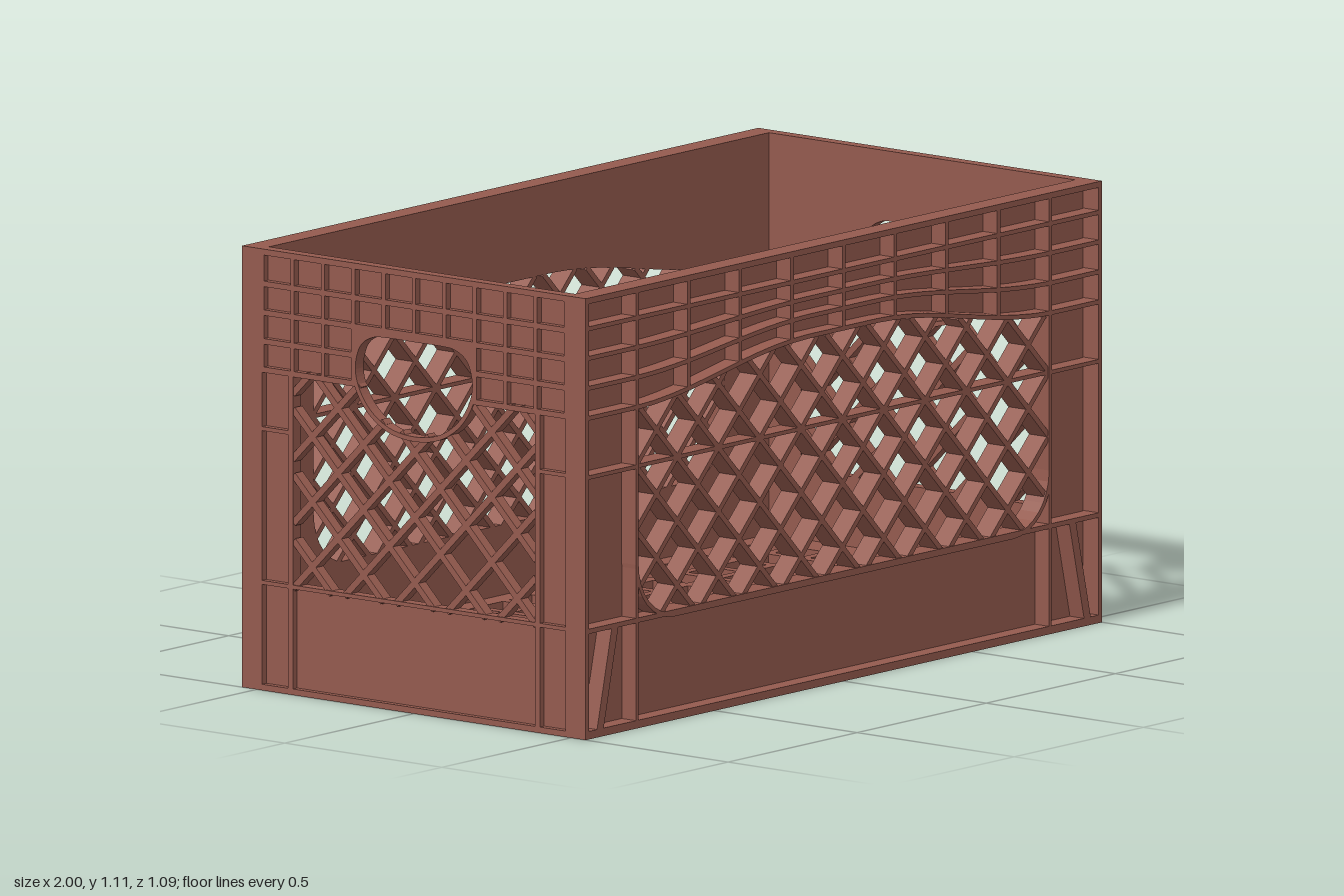
import * as THREE from 'three';
import { mergeGeometries } from 'three/addons/utils/BufferGeometryUtils.js';

const H = 1.105, W = 1, D = 0.547;      // height, half width, half depth
const IN_X = 0.968, IN_Z = 0.487;       // inner faces of the walls
const BASE = 0.27, TOP = 0.803, SKIN = 0.015, RIB = 0.014;

const plastic = new THREE.MeshStandardMaterial({ color: 0x945a4e });
plastic.name = 'brown plastic';

const V = (x, y) => new THREE.Vector2(x, y);
const rect = (x0, y0, x1, y1) => [V(x0, y0), V(x1, y0), V(x1, y1), V(x0, y1)];

// Flat outline with holes, given a thickness
function slab(outline, holes, depth, z = 0) {
  const shape = new THREE.Shape(outline);
  holes.forEach(h => shape.holes.push(new THREE.Path(h)));
  return new THREE.ExtrudeGeometry(shape, { depth, bevelEnabled: false }).translate(0, 0, z);
}

// Straight rib from a to b, standing out from the wall's inner face
function rib(x0, y0, x1, y1, depth, w = RIB) {
  return new THREE.BoxGeometry(Math.hypot(x1 - x0, y1 - y0), w, depth).toNonIndexed()
    .rotateZ(Math.atan2(y1 - y0, x1 - x0))
    .translate((x0 + x1) / 2, (y0 + y1) / 2, depth / 2);
}

// Push a closed counter-clockwise outline outwards
function offset(pts, d) {
  const n = pts.length;
  return pts.map((p, i) => {
    const t = pts[(i + 1) % n].clone().sub(pts[(i + n - 1) % n]).normalize();
    return V(p.x + t.y * d, p.y - t.x * d);
  });
}

function within(pts, x, y) {
  let inside = false;
  pts.forEach((a, i) => {
    const b = pts[(i + 1) % pts.length];
    if ((a.y > y) !== (b.y > y) && x < a.x + (y - a.y) * (b.x - a.x) / (b.y - a.y)) inside = !inside;
  });
  return inside;
}

// Crossing diagonal ribs, cut where the test fails
function lattice(test, pitch, yNode, w, depth) {
  const out = [], step = 0.004;
  for (const s of [-1, 1]) for (let k = -10; k <= 10; k++) {
    let start = null;
    for (let t = -0.6; t <= 0.6; t += step) {
      const inside = test(k * pitch + s * t, yNode + t);
      if (inside && start === null) start = t - step;
      if (!inside && start !== null) {
        out.push(rib(k * pitch + s * start, yNode + start, k * pitch + s * t, yNode + t, depth, w));
        start = null;
      }
    }
  }
  return out;
}

function part(name, geometries) {
  const mesh = new THREE.Mesh(mergeGeometries(geometries), plastic);
  mesh.name = name;
  return mesh;
}

function longWall() {
  const g = new THREE.Group(), depth = D - IN_Z;
  const arch = x => 0.5 + 0.5 * Math.cos(Math.PI * THREE.MathUtils.clamp((Math.abs(x) - 0.12) / 0.7, 0, 1));
  const rows = [[1.022, 0], [0.948, 0.025], [0.873, 0.055], [0.798, 0.08]];
  const rowY = (r, x) => r[0] + r[1] * arch(x);

  // Arched window with rounded lower corners
  const half = 0.795, r = 0.14, opening = [];
  for (const side of [-1, 1]) for (let i = 0; i <= 8; i++) {
    const a = (side < 0 ? Math.PI : Math.PI * 1.5) + i * Math.PI / 16;
    opening.push(V(side * (half - r) + r * Math.cos(a), BASE + r + r * Math.sin(a)));
  }
  for (let i = 0; i <= 24; i++) {
    const x = half - i * half / 12;
    opening.push(V(x, rowY(rows[3], x)));
  }
  g.add(part('longPanel', [slab(rect(-0.975, 0, 0.975, H), [opening], SKIN)]));
  g.add(part('windowRim', [slab(offset(opening, 0.011), [opening], depth)]));

  // Horizontal ribs curving over the window
  const ribs = rows.map(row => {
    const upper = [], lower = [];
    for (let i = 0; i <= 40; i++) {
      const x = -0.99 + i * 0.0495;
      lower.push(V(x, rowY(row, x)));
      upper.unshift(V(x, rowY(row, x) + 0.011));
    }
    return slab([...lower, ...upper], [], depth);
  });
  for (let i = -4; i <= 4; i++) ribs.push(rib(i * 0.2, rowY(rows[3], i * 0.2), i * 0.2, H - 0.01, depth, 0.012));
  g.add(part('upperRibs', ribs));

  // Lower ribs, corner columns and slanted braces
  const frame = [rib(-0.99, BASE, 0.99, BASE, depth, 0.012)];
  for (const s of [-1, 1]) {
    frame.push(rib(s * 0.8, 0.01, s * 0.8, TOP, depth, 0.01));
    frame.push(rib(s * 0.8, 0.655, s * 0.99, 0.655, depth, 0.01));
    frame.push(rib(s * 0.885, BASE, s * 0.945, 0.012, depth, 0.025));
  }
  g.add(part('lowerRibs', frame));
  g.add(part('longRims', [
    rib(-W, H - 0.0075, W, H - 0.0075, depth, 0.015), rib(-W, 0.01, W, 0.01, depth, 0.02)]));
  g.add(part('longLattice', [
    ...lattice((x, y) => within(opening, x, y), 0.16, 0.655, 0.014, depth - 0.004),
    rib(-0.8, 0.655, 0.8, 0.655, depth - 0.004, 0.01)]));
  return g;
}

function endWall() {
  const g = new THREE.Group(), depth = W - IN_X;

  // Rounded hand hole, flat on top
  const side = [[0.08, 0.706], [0.14, 0.745], [0.177, 0.8], [0.186, 0.85], [0.168, 0.903],
    [0.13, 0.926], [0.09, 0.93]];
  const knots = [[0, 0.693], ...side, [0, 0.93], ...side.map(([x, y]) => [-x, y]).reverse()];
  const curve = new THREE.CatmullRomCurve3(knots.map(([x, y]) => new THREE.Vector3(x, y, 0)), true);
  const handle = curve.getPoints(80).slice(0, -1).map(p => V(p.x, p.y));
  const upper = handle.filter(p => p.y > TOP);
  const lower = offset(handle, 0.012).filter(p => p.y < TOP).sort((a, b) => a.x - b.x);

  const window = rect(-0.385, BASE, 0.385, TOP);
  const hole = [V(-0.385, BASE), V(0.385, BASE), V(0.385, TOP), ...upper, V(-0.385, TOP)];
  g.add(part('endPanel', [slab(rect(-0.5, 0, 0.5, H), [hole], SKIN)]));
  const collar = [V(-0.195, TOP), ...lower, V(0.195, TOP), V(0.195, 0.95), V(-0.195, 0.95)];
  g.add(part('handleCollar', [slab(collar, [handle], depth)]));

  // Grid of ribs around the hand hole
  const ribs = [];
  for (const y of [1.018, 0.946]) ribs.push(rib(-0.49, y, 0.49, y, depth));
  for (const s of [-1, 1]) for (const y of [0.874, TOP]) ribs.push(rib(s * 0.19, y, s * 0.49, y, depth));
  for (let i = 0; i <= 10; i++) {
    const x = (i - 5) * 0.0967;
    ribs.push(rib(x, Math.abs(x) < 0.19 ? 0.946 : TOP, x, H - 0.01, depth, 0.012));
  }
  g.add(part('gridRibs', ribs));

  // Corner columns and lower frame
  const frame = [rib(-0.49, BASE, 0.49, BASE, depth, 0.01)];
  for (const s of [-1, 1]) {
    frame.push(rib(s * 0.393, 0.01, s * 0.393, TOP, depth, 0.016));
    frame.push(rib(s * 0.393, 0.655, s * 0.49, 0.655, depth, 0.01));
    frame.push(rib(s * 0.49, 0, s * 0.49, H, depth, 0.014));
    const x = [s * IN_Z, s * D].sort((a, b) => a - b);
    frame.push(slab(rect(x[0], 0, x[1], H), [], 0.013, depth - 0.013));
  }
  g.add(part('endFrame', frame));
  g.add(part('endRims', [
    rib(-D, H - 0.0075, D, H - 0.0075, depth, 0.015), rib(-D, 0.0075, D, 0.0075, depth, 0.015)]));
  g.add(part('endLattice', lattice(
    (x, y) => within(window, x, y) && !within(handle, x, y), 0.163, 0.49, 0.017, depth - 0.003)));
  return g;
}

// Raised floor with square holes around a solid centre pad
function floor() {
  const holes = [], pitch = 0.1115, s = 0.043;
  for (let i = 0; i < 16; i++) for (let j = 0; j < 8; j++) {
    if ((i === 7 || i === 8) && (j === 3 || j === 4)) continue;
    const x = (i - 7.5) * pitch - 0.003, z = (j - 3.5) * pitch;
    holes.push(rect(x - s, z - s, x + s, z + s));
  }
  const geometry = slab(rect(-0.97, -0.49, 0.97, 0.49), holes, 0.05).rotateX(-Math.PI / 2).translate(0, 0.05, 0);
  return part('floor', [geometry]);
}

export function createModel() {
  const crate = new THREE.Group();
  crate.name = 'crate';
  const place = (wall, name, angle, distance) => {
    wall.name = name;
    wall.rotation.y = angle;
    wall.position.set(Math.sin(angle) * distance, 0, Math.cos(angle) * distance);
    crate.add(wall);
  };
  place(longWall(), 'frontWall', 0, IN_Z);
  place(longWall(), 'backWall', Math.PI, IN_Z);
  place(endWall(), 'leftWall', Math.PI / 2, IN_X);
  place(endWall(), 'rightWall', -Math.PI / 2, IN_X);
  crate.add(floor());
  return crate;
}
